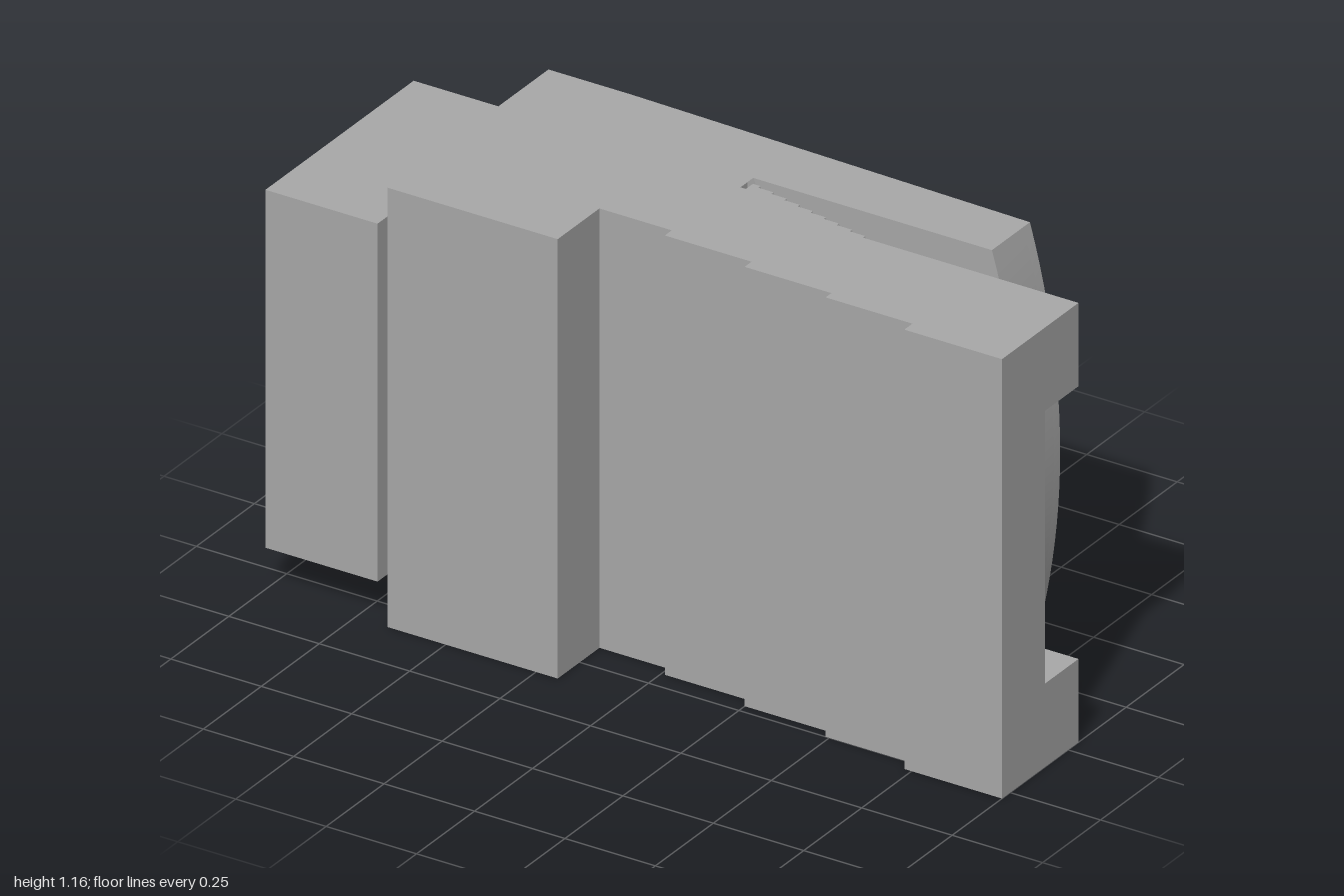
import * as THREE from 'three';
import { toCreasedNormals } from 'three/addons/utils/BufferGeometryUtils.js';

const H = 1.16, MID = H / 2, SAG = 0.085;   // overall height, arc depth of curved ends
const LOW = 0.22, HIGH = 0.94;              // height range of the jaw recess
const GAP = -0.045, FLOOR = 0.1;            // z of the jaw face and of the recess floor

export function createModel() {
  const model = new THREE.Group();
  const grey = new THREE.MeshStandardMaterial({ color: 0xa8a8a8 });
  grey.name = 'grey plastic';

  const add = (name, geometry) => {
    const mesh = new THREE.Mesh(geometry, grey);
    mesh.name = name;
    model.add(mesh);
    return mesh;
  };
  const box = (name, x0, x1, y0, y1, z0, z1) => {
    const g = new THREE.BoxGeometry(x1 - x0, y1 - y0, z1 - z0);
    add(name, g.translate((x0 + x1) / 2, (y0 + y1) / 2, (z0 + z1) / 2));
  };
  // Extrude an x-y shape between two z values
  const slab = (shape, z0, z1) => {
    const g = new THREE.ExtrudeGeometry(shape, { depth: z1 - z0, bevelEnabled: false, curveSegments: 24 });
    return g.translate(0, 0, z0);
  };
  const smooth = (g) => toCreasedNormals(g, 0.4);
  // Plate outline with a bulging right end
  const arcShape = (x0, apex, y0, y1, sag) => {
    const t = (y1 - y0) / H, edge = apex - sag * t * t;
    const s = new THREE.Shape();
    s.moveTo(x0, y0);
    s.lineTo(edge, y0);
    s.quadraticCurveTo(2 * apex - edge, MID, edge, y1);
    s.lineTo(x0, y1);
    return s;
  };

  // Main body: stepped front, extruded upwards in three storeys
  const bodyPart = (name, y0, y1, floor) => {
    const outline = [
      [-0.66, 0.345], [-0.19, 0.345], [-0.19, 0.165], [0.01, 0.165], [0.01, 0.195],
      [0.25, 0.195], [0.25, 0.225], [0.49, 0.225], [0.49, 0.25], [0.73, 0.25],
      [0.73, 0.285], [1, 0.285], [1, floor], [0.045, floor], [0.045, -0.1],
      [0.03, -0.1], [0.03, -0.29], [-0.66, -0.29],
    ];
    const shape = new THREE.Shape(outline.map(([x, z]) => new THREE.Vector2(x, -z)));
    const g = new THREE.ExtrudeGeometry(shape, { depth: y1 - y0, bevelEnabled: false });
    add(name, g.rotateX(-Math.PI / 2).translate(0, y0, 0));
  };
  bodyPart('bodyLower', 0, LOW, GAP);
  bodyPart('bodyMiddle', LOW, HIGH, FLOOR);
  bodyPart('bodyUpper', HIGH, H, GAP);

  // Curved root of the jaw slot
  add('slotRoot', smooth(slab(arcShape(0.03, 0.18, 0, H, 0.15), -0.155, -0.13)));
  box('slotNotchFill', 0.03, 0.045, 0.06, H - 0.06, -0.13, -0.1);

  // Serrated jaw: stacked layers with arc fronts, full height then within the recess
  const serrations = (name, count, z0, z1, x0, x1, y0, y1) => {
    const dz = (z1 - z0) / count;
    for (let i = 0; i < count; i++) {
      const apex = x0 + (x1 - x0) * (i + 0.5) / count;
      const z = z0 + i * dz;
      add(name, smooth(slab(arcShape(0.045, apex, y0, y1, SAG), z, z + dz)));
    }
  };
  serrations('jawSerration', 9, -0.13, GAP, 0.13, 0.51, 0, H);
  serrations('recessSerration', 15, GAP, FLOOR, 0.51, 1, LOW, HIGH);

  // Back arm: inner slab plus a tapering skin with pin holes and a tongue recess
  add('backArm', smooth(slab(arcShape(0.03, 0.775, 0, H, SAG), -0.29, -0.155)));

  const skin = new THREE.Shape();
  skin.moveTo(-0.66, 0);
  skin.lineTo(-0.43, 0);
  skin.lineTo(0.69, 0);
  skin.quadraticCurveTo(0.86, MID, 0.69, H);
  skin.lineTo(-0.43, H);
  skin.lineTo(-0.66, H);
  skin.lineTo(-0.66, 1.0);
  skin.lineTo(-0.45, 1.0);
  skin.quadraticCurveTo(-0.4, MID, -0.45, 0.17);
  skin.lineTo(-0.66, 0.17);
  for (const [x, dy] of [[0.59, 0.3], [0.605, 0.173]]) {
    for (const side of [-1, 1]) {
      const hole = new THREE.Path();
      hole.absarc(x, MID + side * dy, 0.013, 0, Math.PI * 2, true);
      skin.holes.push(hole);
    }
  }
  const skinGeometry = slab(skin, -0.348, -0.29);
  const p = skinGeometry.attributes.position;
  for (let i = 0; i < p.count; i++) {
    if (p.getZ(i) < -0.32) p.setZ(i, -0.348 + Math.max(0, p.getX(i) + 0.43) * 0.026);
  }
  skinGeometry.computeVertexNormals();
  add('backSkin', smooth(skinGeometry));

  // Tongue joining the end block to the body
  box('tongueNeck', -0.7, -0.65, 0.19, 0.98, -0.312, 0.05);
  box('tongue', -0.66, -0.465, 0.19, 0.98, -0.312, -0.285);

  // End block with a row of slits in its back
  box('endBlock', -1, -0.69, 0.11, 1.055, -0.265, 0.342);
  const panel = new THREE.Shape();
  panel.moveTo(-1, 0.11);
  panel.lineTo(-0.69, 0.11);
  panel.lineTo(-0.69, 1.055);
  panel.lineTo(-1, 1.055);
  for (let i = 0; i < 6; i++) {
    const y = 0.335 + i * 0.083;
    const slit = new THREE.Path();
    slit.moveTo(-0.851, y);
    slit.lineTo(-0.851, y + 0.07);
    slit.lineTo(-0.839, y + 0.07);
    slit.lineTo(-0.839, y);
    panel.holes.push(slit);
  }
  add('slottedPanel', slab(panel, -0.297, -0.265));

  return model;
}
